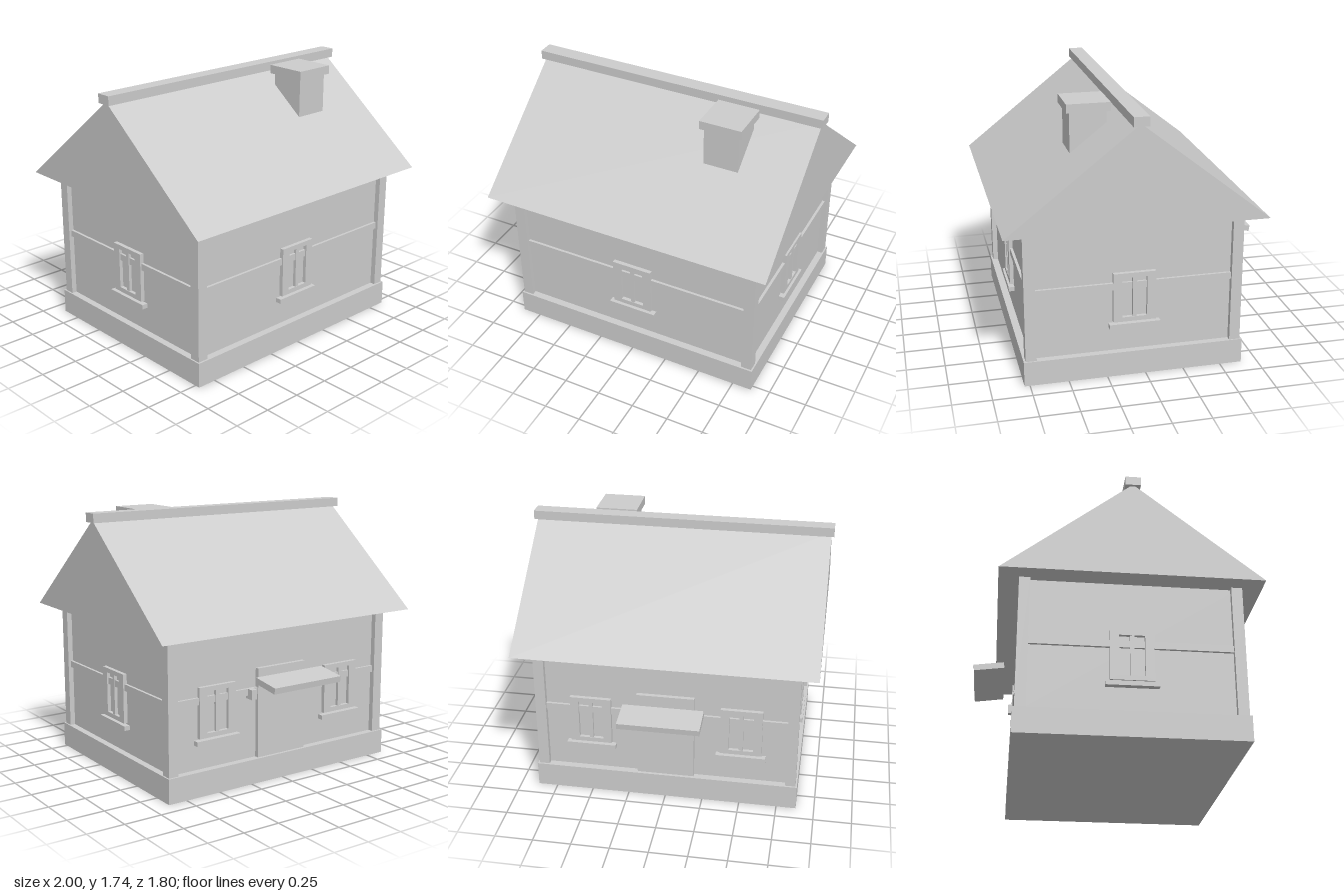
import * as THREE from 'three';

const CZ = 0.07; // depth centre of the house body
const plaster = new THREE.MeshStandardMaterial({ color: 0xcccccc });
plaster.name = 'plain grey';

// Box given by its limits on each axis
function box(parent, name, [x0, x1], [y0, y1], [z0, z1]) {
  const mesh = new THREE.Mesh(new THREE.BoxGeometry(x1 - x0, y1 - y0, z1 - z0), plaster);
  mesh.position.set((x0 + x1) / 2, (y0 + y1) / 2, (z0 + z1) / 2);
  mesh.name = name;
  parent.add(mesh);
  return mesh;
}

function rect(Type, w, y0, y1) {
  return new Type([[-w, y0], [w, y0], [w, y1], [-w, y1]].map(([x, y]) => new THREE.Vector2(x, y)));
}

// Window with its back on the local z = 0 plane, facing +z
function makeWindow(x) {
  const g = new THREE.Group();
  g.name = 'window';
  const shape = rect(THREE.Shape, 0.137, 0.37, 0.7);
  shape.holes.push(rect(THREE.Path, 0.08, 0.4, 0.67));
  const frame = new THREE.Mesh(
    new THREE.ExtrudeGeometry(shape, { depth: 0.027, bevelEnabled: false }), plaster);
  frame.name = 'windowFrame';
  g.add(frame);
  box(g, 'windowPane', [-0.08, 0.08], [0.4, 0.67], [-0.005, 0.003]);
  box(g, 'mullion', [-0.013, 0.013], [0.4, 0.67], [0, 0.024]);
  box(g, 'windowSill', [-0.165, 0.165], [0.33, 0.36], [-0.01, 0.04]);
  g.position.x = x;
  return g;
}

// Trim of one wall, built facing +z: middle rail and windows
function makeWallTrim(name, halfWidth, windowXs) {
  const g = new THREE.Group();
  g.name = name;
  box(g, 'wallRail', [-halfWidth, halfWidth], [0.59, 0.635], [-0.01, 0.018]);
  windowXs.forEach((x) => g.add(makeWindow(x)));
  return g;
}

export function createModel() {
  const model = new THREE.Group();
  model.name = 'house';

  // Plinth and walls
  box(model, 'plinth', [-0.88, 0.88], [0, 0.165], [CZ - 0.715, CZ + 0.715]);
  box(model, 'walls', [-0.835, 0.835], [0.165, 1.035], [CZ - 0.667, CZ + 0.667]);

  // Corner posts
  for (const sx of [-1, 1]) for (const sz of [-1, 1]) {
    const post = box(model, 'cornerPost', [-0.035, 0.035], [0.165, 1.035], [-0.035, 0.035]);
    post.position.x = sx * 0.835;
    post.position.z = CZ + sz * 0.667;
  }

  // Rails and windows on the four sides
  const sides = [
    ['frontTrim', 0.8, [0], 0, 0.667, 0],
    ['backTrim', 0.8, [-0.5, 0.5], 0, -0.667, Math.PI],
    ['leftTrim', 0.632, [0], 0.835, 0, Math.PI / 2],
    ['rightTrim', 0.632, [0], -0.835, 0, -Math.PI / 2],
  ];
  for (const [name, half, xs, x, z, turn] of sides) {
    const trim = makeWallTrim(name, half, xs);
    trim.position.set(x, 0, CZ + z);
    trim.rotation.y = turn;
    model.add(trim);
  }

  // Back door, handle block and tilted canopy
  box(model, 'door', [-0.19, 0.19], [0.165, 0.76], [-0.625, -0.59]);
  box(model, 'doorLamp', [0.225, 0.265], [0.57, 0.635], [-0.66, -0.59]);
  const canopy = box(model, 'doorCanopy', [-0.265, 0.265], [0.675, 0.715], [-0.897, -0.699]);
  canopy.rotation.x = -0.14;

  // Gable roof
  const gable = new THREE.Shape([[-0.83, 1.035], [0.83, 1.035], [0, 1.69]]
    .map(([x, y]) => new THREE.Vector2(x, y)));
  const roofGeo = new THREE.ExtrudeGeometry(gable, { depth: 1.964, bevelEnabled: false });
  roofGeo.translate(0, 0, -0.982).rotateY(Math.PI / 2);
  const roof = new THREE.Mesh(roofGeo, plaster);
  roof.name = 'roof';
  roof.position.z = CZ;
  model.add(roof);
  box(model, 'ridgeBeam', [-1, 1], [1.677, 1.737], [CZ - 0.05, CZ + 0.05]);

  // Chimney
  box(model, 'chimneyStack', [0.347, 0.58], [1.36, 1.68], [0.187, 0.42]);
  box(model, 'chimneyCap', [0.325, 0.604], [1.673, 1.73], [0.164, 0.443]);

  return model;
}
